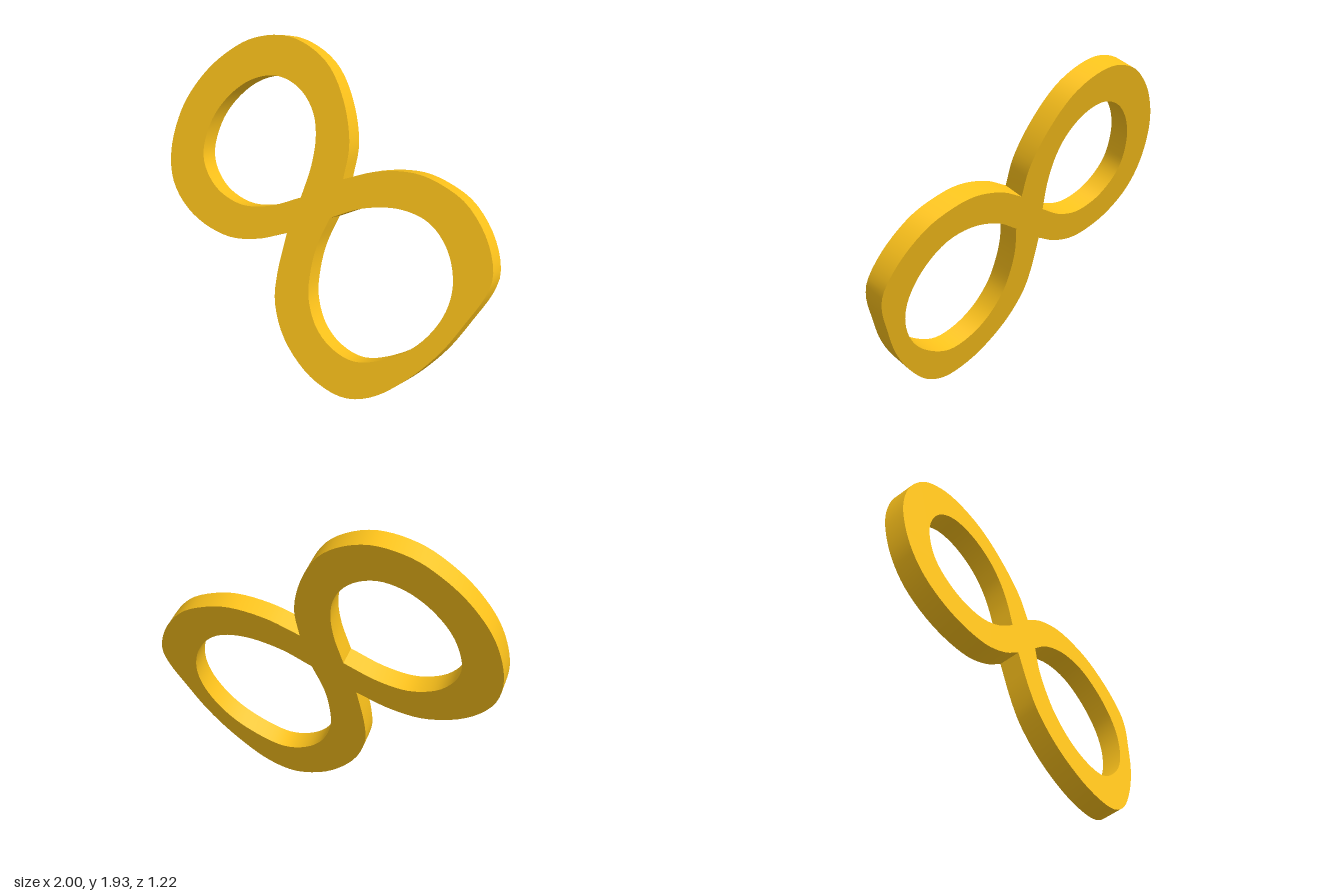
import * as THREE from 'three';
import { toCreasedNormals } from 'three/addons/utils/BufferGeometryUtils.js';

// smooth open curve through a few points (flat x, y list)
function smooth(coords, samples = 72) {
  const pts = [];
  for (let i = 0; i < coords.length; i += 2) pts.push(new THREE.Vector3(coords[i], coords[i + 1], 0));
  return new THREE.CatmullRomCurve3(pts, false, 'centripetal')
    .getSpacedPoints(samples).map(p => new THREE.Vector2(p.x, p.y));
}

export function createModel() {
  const group = new THREE.Group();
  group.name = 'tiltedFigureEight';

  // outer edge: two lobes that meet in sharp notches at the waist
  const upperLobe = smooth([
    0.10, 1.23, 0.13, 1.42, 0.09, 1.64, 0.00, 1.81, -0.12, 1.895, -0.27, 1.93, -0.47, 1.885,
    -0.63, 1.785, -0.79, 1.63, -0.93, 1.41, -1.00, 1.14, -0.97, 0.96, -0.84, 0.82,
    -0.62, 0.75, -0.42, 0.78, -0.23, 0.86]);
  const lowerLobe = smooth([
    -0.23, 0.86, -0.285, 0.61, -0.295, 0.46, -0.245, 0.29, -0.14, 0.155, -0.02, 0.075,
    0.14, 0.04, 0.30, 0.09, 0.49, 0.235, 0.68, 0.44, 0.82, 0.65, 0.92, 0.82, 0.95, 0.93,
    0.91, 1.10, 0.80, 1.25, 0.68, 1.315, 0.52, 1.35, 0.30, 1.315, 0.10, 1.23]);

  // teardrop openings, each with one sharp corner at the waist
  const upperHole = smooth([
    -0.15, 1.075, -0.09, 1.27, -0.07, 1.43, -0.09, 1.55, -0.15, 1.64, -0.23, 1.69, -0.33, 1.705,
    -0.47, 1.66, -0.61, 1.55, -0.725, 1.39, -0.78, 1.20, -0.76, 1.10, -0.69, 1.01,
    -0.60, 0.965, -0.50, 0.95, -0.34, 0.985, -0.15, 1.075]);
  const lowerHole = smooth([
    0.03, 1.005, 0.22, 1.10, 0.44, 1.145, 0.60, 1.11, 0.70, 1.00, 0.74, 0.84, 0.71, 0.68,
    0.60, 0.50, 0.44, 0.36, 0.205, 0.26, 0.06, 0.295, -0.035, 0.385, -0.085, 0.53,
    -0.08, 0.67, -0.045, 0.83, 0.03, 1.005]);

  const shape = new THREE.Shape([...upperLobe.slice(0, -1), ...lowerLobe.slice(0, -1)]);
  shape.holes = [upperHole, lowerHole].map(h => new THREE.Path(h.slice(0, -1)));

  // the plate lies in the plane z = a x + b y + c, and is thickened along its normal
  const a = 0.45, b = -0.375, depth = 0.11, c = 0.452;
  const geometry = new THREE.ExtrudeGeometry(shape, { depth, bevelEnabled: false, steps: 1 });
  geometry.applyMatrix4(new THREE.Matrix4().set(
    1, 0, -a, depth * a,
    0, 1, -b, depth * b,
    a, b, 1, c - depth,
    0, 0, 0, 1));

  const plate = new THREE.Mesh(
    toCreasedNormals(geometry, 0.5),
    new THREE.MeshStandardMaterial({ color: 0xfcc21b }));
  plate.name = 'figureEightBand';
  group.add(plate);
  return group;
}
